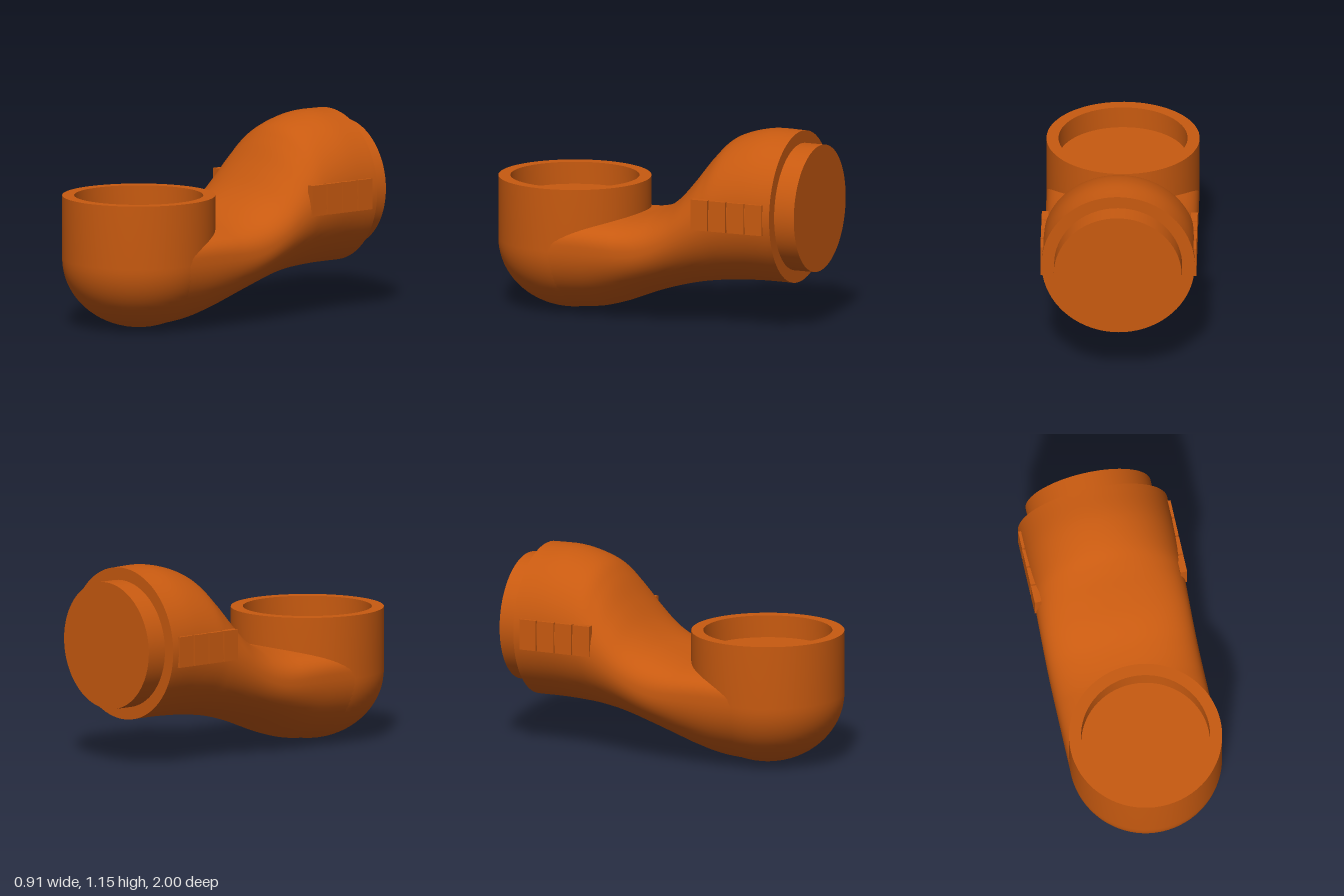
import * as THREE from 'three';
import { toCreasedNormals } from 'three/addons/utils/BufferGeometryUtils.js';

const R = 0.445; // outer radius shared by both ends
const CUP_Z = 0.555; // vertical axis of the cup
const TUBE_Y = 0.7; // height of the rear tube's axis

// Neck cross-sections: z, top, widest height, bottom, squareness of the upper half
const SECTIONS = [
  [-0.875, 1.145, 0.7, 0.255, 2],
  [-0.68, 1.143, 0.7, 0.255, 2],
  [-0.5, 1.09, 0.66, 0.246, 2],
  [-0.4, 1.0, 0.61, 0.235, 2],
  [-0.3, 0.865, 0.55, 0.22, 2.1],
  [-0.2, 0.745, 0.49, 0.198, 2.2],
  [-0.1, 0.665, 0.44, 0.17, 2.4],
  [0, 0.62, 0.41, 0.137, 2.6],
  [0.1, 0.595, 0.4, 0.098, 2.8],
  [0.2, 0.587, 0.4, 0.06, 3],
  [0.35, 0.585, 0.4, 0.02, 3.2],
  [0.555, 0.585, 0.4, 0.003, 3.2],
];

// Loft of rounded sections, full width all along
function neckGeometry(rings = 66, sides = 72) {
  const spline = (pick) => new THREE.CatmullRomCurve3(SECTIONS.map(pick), false, 'catmullrom', 0.5);
  const heights = spline((s) => new THREE.Vector3(s[1], s[2], s[3]));
  const stations = spline((s) => new THREE.Vector3(s[0], s[4], 0));
  const positions = [];
  const index = [];
  for (let i = 0; i <= rings; i++) {
    const { x: top, y: mid, z: bottom } = heights.getPoint(i / rings);
    const { x: z, y: power } = stations.getPoint(i / rings);
    for (let j = 0; j < sides; j++) {
      const a = (j / sides) * Math.PI * 2;
      const c = Math.cos(a);
      const s = Math.sin(a);
      const e = s > 0 ? 2 / power : 1;
      const x = (R - 0.001) * Math.sign(c) * Math.abs(c) ** e;
      const y = s > 0 ? mid + (top - mid) * s ** e : mid + (mid - bottom) * s;
      positions.push(x, y, z);
      if (i === rings) continue;
      const p = i * sides + j;
      const q = i * sides + ((j + 1) % sides);
      index.push(p, q, p + sides, q, q + sides, p + sides);
    }
  }
  const geometry = new THREE.BufferGeometry();
  geometry.setAttribute('position', new THREE.Float32BufferAttribute(positions, 3));
  geometry.setIndex(index);
  geometry.computeVertexNormals();
  return geometry;
}

// Domed bottom, straight wall, flat rim and shallow recess
function cupGeometry() {
  const profile = [];
  for (let i = 0; i <= 20; i++) {
    const a = (i / 20) * Math.PI / 2;
    profile.push(new THREE.Vector2(R * Math.sin(a), 0.4 - 0.4 * Math.cos(a)));
  }
  for (const [r, y] of [[R, 0.77], [0.375, 0.77], [0.375, 0.64], [0, 0.64]]) {
    profile.push(new THREE.Vector2(r, y));
  }
  return toCreasedNormals(new THREE.LatheGeometry(profile, 72), 0.6);
}

export function createModel() {
  const model = new THREE.Group();
  model.name = 'elbowLink';
  const material = new THREE.MeshStandardMaterial({ color: 0xc85a10 });
  const add = (name, geometry, x = 0, y = 0, z = 0) => {
    const mesh = new THREE.Mesh(geometry, material);
    mesh.name = name;
    mesh.position.set(x, y, z);
    model.add(mesh);
    return mesh;
  };

  add('neck', neckGeometry());
  add('cup', cupGeometry(), 0, 0, CUP_Z);

  // Rear shoulder face and the narrower spigot standing out of it
  add('rearShoulder', new THREE.CircleGeometry(R, 72).rotateY(Math.PI), 0, TUBE_Y, -0.875);
  add('spigot', new THREE.CylinderGeometry(0.372, 0.372, 0.14, 72).rotateX(Math.PI / 2), 0, TUBE_Y, -0.93);

  // Row of four plain raised tiles on each side
  const tile = new THREE.BoxGeometry(0.04, 0.18, 0.105);
  for (const side of [1, -1]) {
    for (let i = 0; i < 4; i++) {
      add(`${side > 0 ? 'left' : 'right'}Tile${i + 1}`, tile, side * 0.433, 0.695, -0.433 - i * 0.115);
    }
  }
  return model;
}
